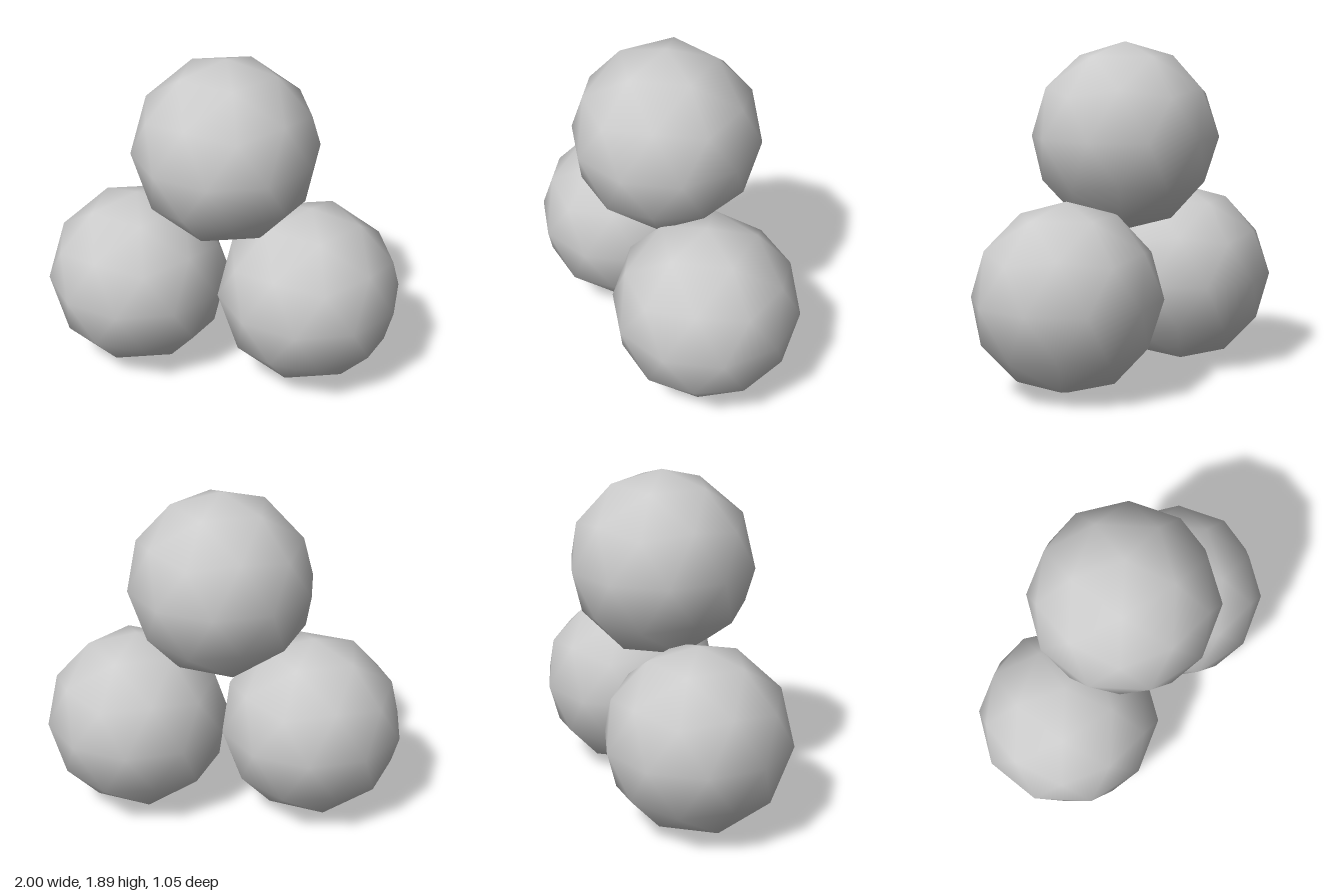
import * as THREE from 'three';

const RADIUS = 0.525;

// Smooth 80-sided icosphere with a vertex at each pole and an upper-ring vertex towards +x
function makeBallGeometry() {
  const t = (1 + Math.sqrt(5)) / 2;
  const side = new THREE.Vector3(0, -t, 1).normalize();
  const up = new THREE.Vector3(0, 1, t).normalize();
  const front = new THREE.Vector3().crossVectors(side, up);
  const turn = new THREE.Matrix4().makeBasis(side, up, front).transpose();
  return new THREE.IcosahedronGeometry(RADIUS, 1).applyMatrix4(turn);
}

export function createModel() {
  const group = new THREE.Group();
  group.name = 'ballStack';
  const grey = new THREE.MeshStandardMaterial({ color: 0xcccccc });
  grey.name = 'lightGrey';
  const geometry = makeBallGeometry();

  // Two touching balls below, one resting on top
  const balls = [
    ['rightBall', -0.5, RADIUS],
    ['leftBall', 0.5, RADIUS],
    ['topBall', 0.017, 1.37],
  ];
  for (const [name, x, y] of balls) {
    const ball = new THREE.Mesh(geometry, grey);
    ball.name = name;
    ball.position.set(x, y, 0);
    group.add(ball);
  }
  return group;
}
